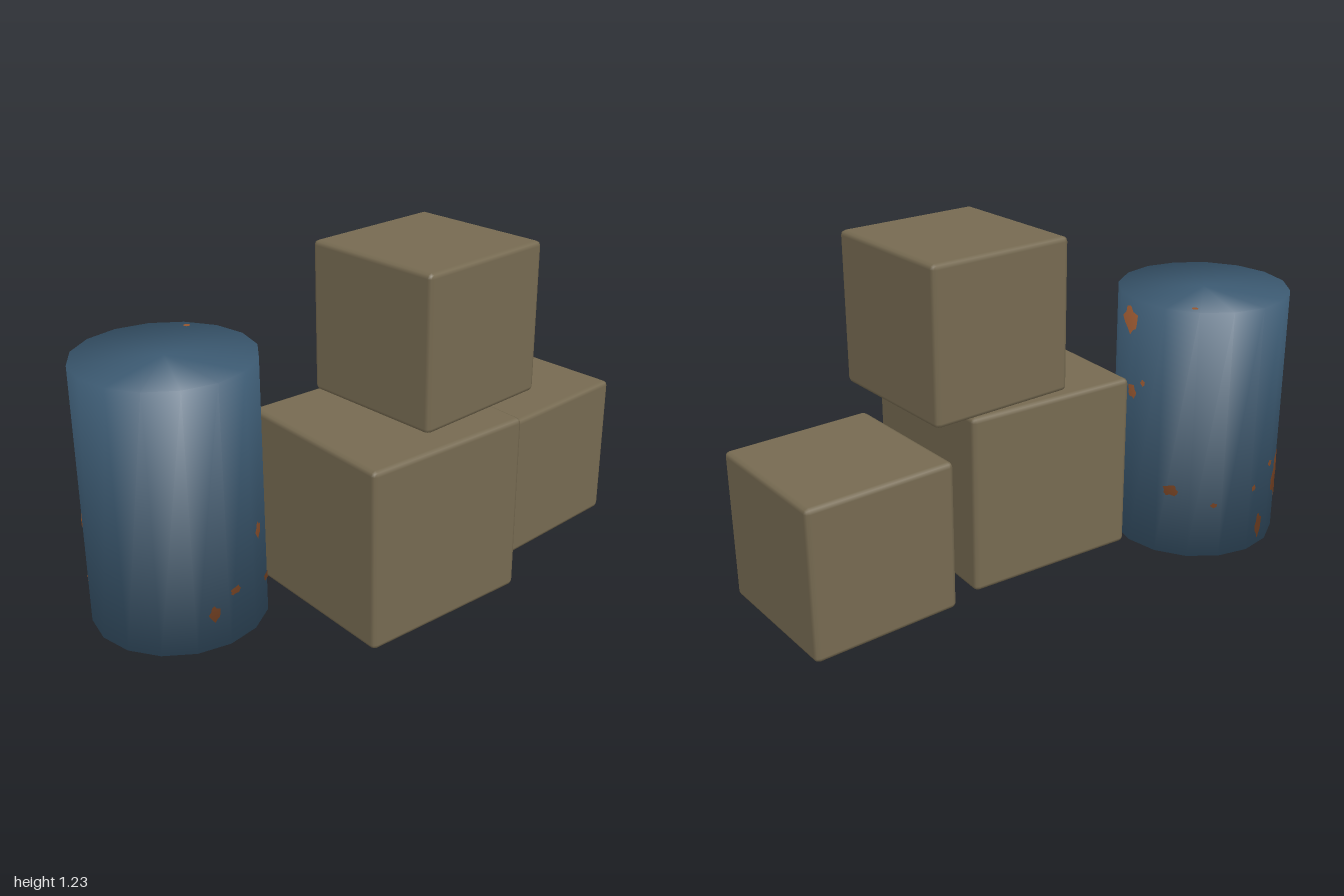
import * as THREE from 'three';
import { RoundedBoxGeometry } from 'three/addons/geometries/RoundedBoxGeometry.js';

const RADIUS = 0.31, HEIGHT = 0.95, SIDES = 16;

const material = (name, color, side = THREE.FrontSide) => {
  const m = new THREE.MeshStandardMaterial({ color, side });
  m.name = name;
  return m;
};

// Distance from the barrel axis to its faceted wall at an angle
function wallRadius(a) {
  const step = (Math.PI * 2) / SIDES;
  const local = a - Math.floor(a / step) * step - step / 2;
  return (RADIUS * Math.cos(step / 2)) / Math.cos(local);
}

// Normals that run smoothly over the rims, as on one soft-shaded solid
function softenNormals(geometry) {
  const p = geometry.attributes.position, n = geometry.attributes.normal;
  for (let i = 0; i < p.count; i++) {
    const v = new THREE.Vector3(p.getX(i) / RADIUS, p.getY(i) / (HEIGHT / 2), p.getZ(i) / RADIUS);
    if (v.x * v.x + v.z * v.z > 1e-6) v.normalize();
    n.setXYZ(i, v.x, v.y, v.z);
  }
  return geometry;
}

// Rust patch wrapped on the wall: outline points are (along wall, up) offsets
function rustPatch(angleDeg, y, outline) {
  const RINGS = 4, count = outline.length, pos = [], index = [];
  const a0 = THREE.MathUtils.degToRad(angleDeg);
  for (let r = 0; r <= RINGS; r++) {
    for (const [u, v] of outline) {
      const a = a0 + (u * r / RINGS) / RADIUS, d = wallRadius(a) + 0.003;
      pos.push(Math.sin(a) * d, y + v * r / RINGS - HEIGHT / 2, Math.cos(a) * d);
    }
  }
  for (let r = 0; r < RINGS; r++) {
    for (let i = 0; i < count; i++) {
      const j = (i + 1) % count, b = r * count, c = b + count;
      index.push(b + i, c + i, c + j, b + i, c + j, b + j);
    }
  }
  const g = new THREE.BufferGeometry();
  g.setAttribute('position', new THREE.Float32BufferAttribute(pos, 3));
  g.setIndex(index);
  g.computeVertexNormals();
  return softenNormals(g);
}

// Irregular blob outline, counter-clockwise
function blob(w, h, seed) {
  const points = [];
  for (let i = 0; i < 12; i++) {
    const t = (i / 12) * Math.PI * 2;
    const k = 0.95 + 0.2 * Math.sin(seed * 3.1 + i * 2.3);
    points.push([Math.cos(t) * w / 2 * k, Math.sin(t) * h / 2 * k]);
  }
  return points;
}

export function createModel() {
  const model = new THREE.Group();
  model.name = 'barrelAndCrates';
  const crateBrown = material('crateBrown', 0x766a51);
  const barrelBlue = material('barrelBlue', 0x3c5a72);
  const rust = material('rust', 0x94552f, THREE.DoubleSide);

  // Crates: name, edge length, x, base height, z, turn
  const crates = [
    ['largeCrate', 0.662, -0.025, 0.003, 0.152, -0.013],
    ['upperCrate', 0.553, 0.203, 0.672, 0.1, 0.066],
    ['sideCrate', 0.553, 0.705, 0.002, 0.043, 0.062],
  ];
  for (const [name, size, x, base, z, turn] of crates) {
    const crate = new THREE.Mesh(new RoundedBoxGeometry(size, size, size, 1, 0.018), crateBrown);
    crate.name = name;
    crate.position.set(x, base + size / 2, z);
    crate.rotation.y = turn;
    model.add(crate);
  }

  // Barrel
  const barrel = new THREE.Group();
  barrel.name = 'barrel';
  barrel.position.set(-0.69, HEIGHT / 2, -0.18);
  const body = new THREE.Mesh(
    softenNormals(new THREE.CylinderGeometry(RADIUS, RADIUS, HEIGHT, SIDES)), barrelBlue);
  body.name = 'barrelBody';
  barrel.add(body);

  // Rust spots: angle from the front, height, width, tallness
  const spots = [
    [31, 0.36, 0.045, 0.06], [5.5, 0.197, 0.05, 0.03], [-10, 0.135, 0.04, 0.06],
    [43, 0.145, 0.05, 0.03], [82, 0.87, 0.1, 0.1], [87, 0.605, 0.055, 0.055],
    [97, 0.65, 0.02, 0.025], [122, 0.26, 0.06, 0.045], [152, 0.21, 0.025, 0.02],
    [242, 0.385, 0.085, 0.05], [192, 0.08, 0.04, 0.1], [183, 0.25, 0.025, 0.025],
    [201, 0.32, 0.025, 0.025],
  ];
  const addRust = (name, geometry) => {
    const mesh = new THREE.Mesh(geometry, rust);
    mesh.name = name;
    barrel.add(mesh);
    return mesh;
  };
  spots.forEach(([a, y, w, h], i) => addRust('rustSpot', rustPatch(a, y, blob(w, h, i))));

  // Large rust stain low on the back
  addRust('rustStain', rustPatch(226, 0.2, [
    [0.1, -0.03], [0.085, 0.02], [0.05, 0.06], [0.025, 0.115], [-0.02, 0.125], [-0.06, 0.1],
    [-0.06, 0.06], [-0.1, 0.035], [-0.1, -0.01], [-0.05, -0.03], [-0.01, -0.07],
    [0.05, -0.125], [0.085, -0.11],
  ]));

  // Small spot on the lid
  const lidSpot = addRust('lidRustSpot', new THREE.CircleGeometry(0.012, 8));
  lidSpot.rotation.x = -Math.PI / 2;
  lidSpot.position.set(0.205, HEIGHT / 2 + 0.002, -0.18);
  model.add(barrel);
  return model;
}
